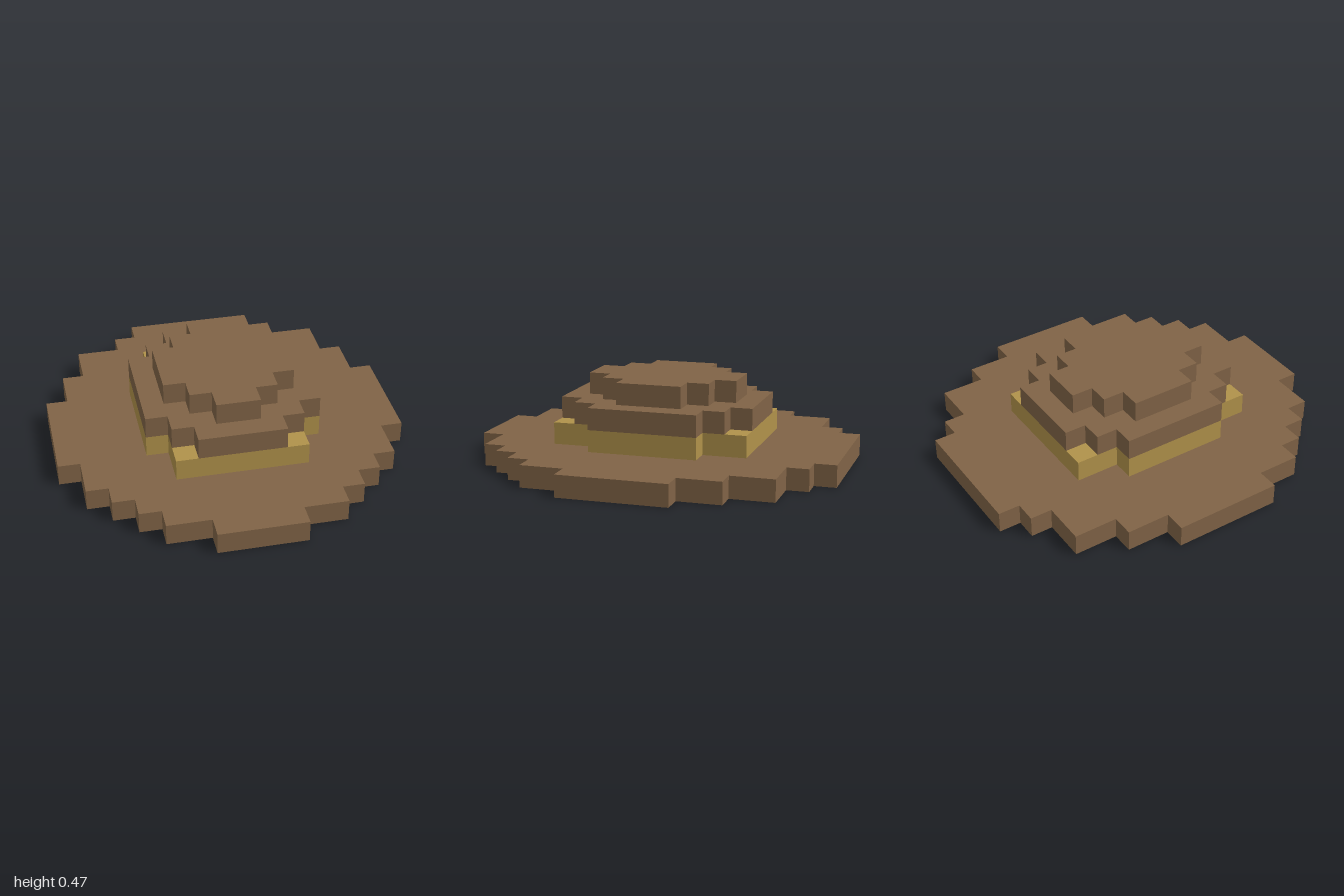
import * as THREE from 'three';

const U = 2 / 17; // side of one block

// Stepped outline from [half width, row count] runs, listed from back to front
function steppedPoints(runs) {
  const rows = runs.reduce((sum, [, n]) => sum + n, 0);
  const right = [];
  let y = rows / 2;
  for (const [half, n] of runs) {
    right.push([half, y], [half, y - n]);
    y -= n;
  }
  const left = right.map(([px, py]) => [-px, py]).reverse();
  return [...right, ...left].map(([px, py]) => new THREE.Vector2(px * U, py * U));
}

// Flat slab of blocks, from layer `base` up through `layers` layers
function slab(name, runs, base, layers, material, holeRuns) {
  const shape = new THREE.Shape(steppedPoints(runs));
  if (holeRuns) shape.holes.push(new THREE.Path(steppedPoints(holeRuns)));
  const geometry = new THREE.ExtrudeGeometry(shape, { depth: layers * U, bevelEnabled: false });
  geometry.rotateX(-Math.PI / 2);
  geometry.translate(0, base * U, 0);
  const mesh = new THREE.Mesh(geometry, material);
  mesh.name = name;
  return mesh;
}

export function createModel() {
  const brown = new THREE.MeshStandardMaterial({ color: 0x806346 });
  brown.name = 'brown felt';
  const gold = new THREE.MeshStandardMaterial({ color: 0xb0924a });
  gold.name = 'gold band';

  const brim = [[3, 1], [4, 1], [6, 2], [7, 2], [8, 5], [7, 2], [6, 1], [5, 1], [4, 1], [2, 1]];
  const band = [[3, 2], [4, 5], [3, 2]];
  const crown = [[2, 1], [3, 1], [4, 5], [3, 1], [2, 1]];
  const crownTop = [[1, 1], [2, 1], [3, 3], [2, 1], [1, 1]];

  const hat = new THREE.Group();
  hat.name = 'hat';
  hat.add(
    slab('brim', brim, 0, 1, brown, band),
    slab('band', band, 0, 2, gold), // fills the brim opening down to the underside
    slab('crown', crown, 2, 1, brown),
    slab('crownTop', crownTop, 3, 1, brown),
  );
  return hat;
}
